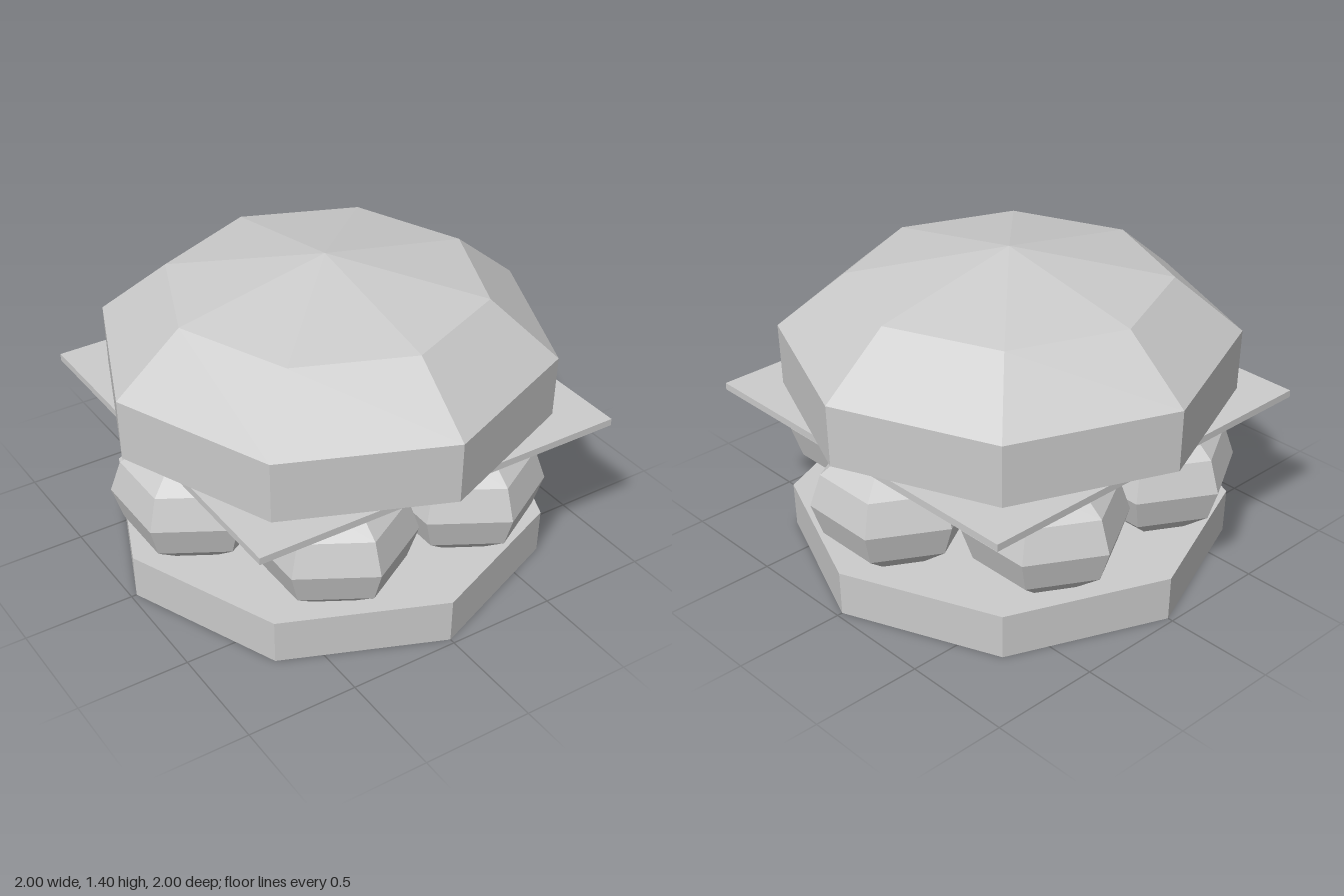
import * as THREE from 'three';

export function createModel() {
  const model = new THREE.Group();
  model.name = 'meatballSandwich';
  const material = new THREE.MeshStandardMaterial({ color: 0xcccccc, flatShading: true });

  const add = (name, geometry, x, y, z, parent = model) => {
    const mesh = new THREE.Mesh(geometry, material);
    mesh.name = name;
    mesh.position.set(x, y, z);
    parent.add(mesh);
    return mesh;
  };

  // Octagonal bottom bun
  add('bottomBun', new THREE.CylinderGeometry(0.98, 0.975, 0.205, 8), 0, 0.1025, 0);

  // Meatballs: one in the middle, six around it
  const meatballs = new THREE.Group();
  meatballs.name = 'meatballs';
  model.add(meatballs);
  const ball = new THREE.SphereGeometry(0.36, 6, 6);
  ball.rotateY(Math.PI / 6); // corners point along z
  ball.scale(1, 0.795, 1);
  add('centreMeatball', ball, 0, 0.456, 0, meatballs);
  for (let i = 0; i < 6; i++) {
    const a = (i * Math.PI) / 3;
    add('meatball', ball, 0.663 * Math.cos(a), 0.456, 0.573 / 0.866 * Math.sin(a), meatballs);
  }

  // Square cheese slice, slightly off centre
  add('cheeseSlice', new THREE.BoxGeometry(1.745, 0.032, 1.745), 0.017, 0.719, -0.003);

  // Faceted domed top bun
  const profile = [[0, 0.735], [0.993, 0.735], [1, 1.015], [0.7, 1.265], [0, 1.4]];
  add('topBun', new THREE.LatheGeometry(profile.map(([r, y]) => new THREE.Vector2(r, y)), 8), 0, 0, 0);

  return model;
}
